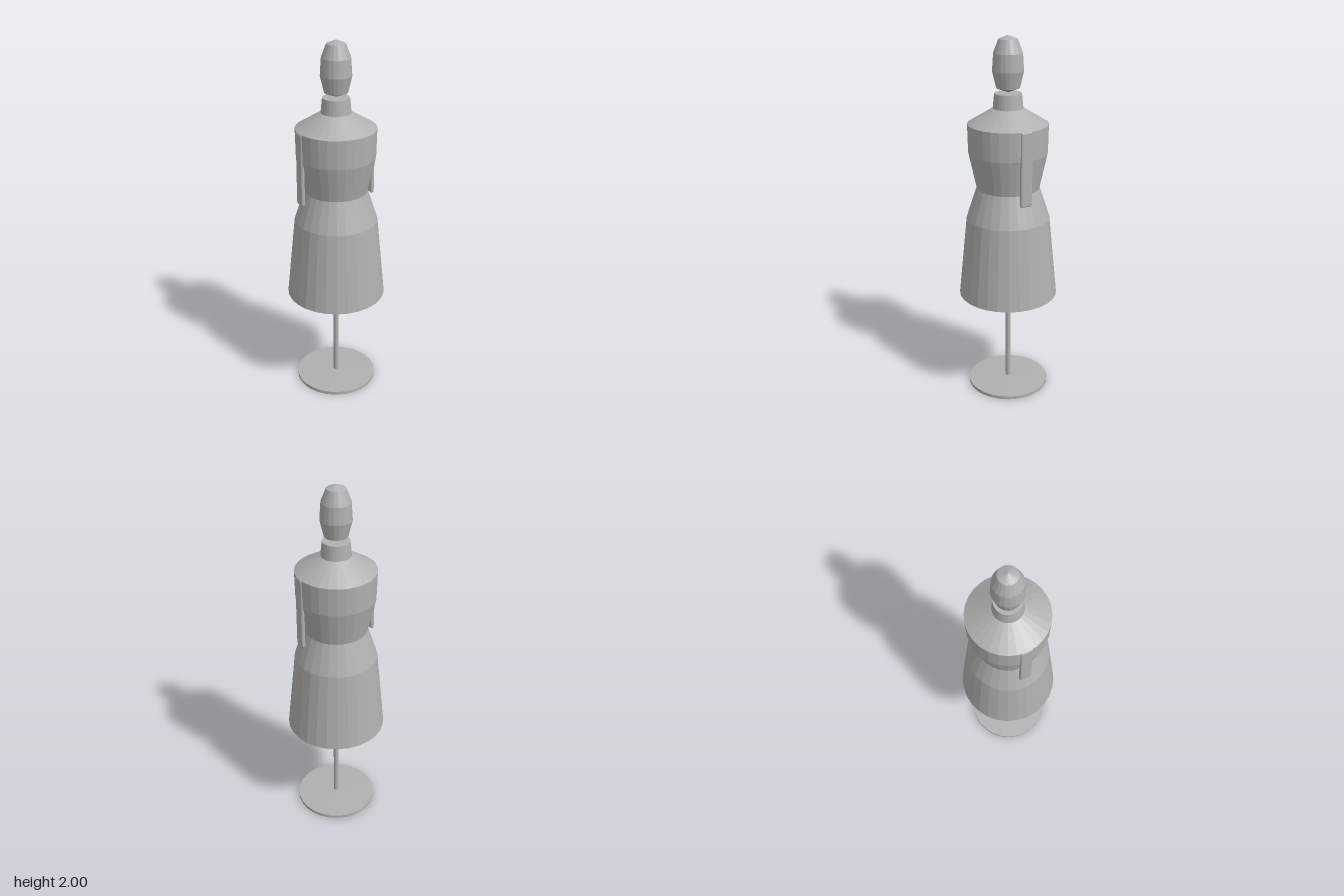
import * as THREE from 'three';
import { RoundedBoxGeometry } from 'three/addons/geometries/RoundedBoxGeometry.js';

export function createModel() {
  const model = new THREE.Group();
  model.name = 'dressForm';

  const grey = new THREE.MeshStandardMaterial({ color: 0xb0b0b0 });
  grey.name = 'plainGrey';

  function add(name, geometry) {
    // Split the vertices so every facet stays flat
    const flat = geometry.index ? geometry.toNonIndexed() : geometry;
    flat.computeVertexNormals();
    const mesh = new THREE.Mesh(flat, grey);
    mesh.name = name;
    model.add(mesh);
    return mesh;
  }

  // Profiles run from bottom to top as [radius, height]
  const lathe = (profile, sides) =>
    new THREE.LatheGeometry(profile.map(([r, y]) => new THREE.Vector2(r, y)), sides);

  // Round stand with a barely domed top
  add('standBase', lathe([[0, 0], [0.227, 0], [0.227, 0.018], [0, 0.025]], 28));

  // Pole up into the skirt
  const pole = add('standPole', new THREE.CylinderGeometry(0.014, 0.014, 0.58, 12));
  pole.position.y = 0.305;

  // Skirt, waist, chest, shoulders and neck
  add('body', lathe([
    [0, 0.575], [0.272, 0.575], [0.226, 1.025], [0.17, 1.195], [0.212, 1.39],
    [0.215, 1.545], [0.08, 1.627], [0.072, 1.705], [0, 1.705],
  ], 28));

  // Head, resting on a point just above the neck
  add('head', lathe([
    [0, 1.708], [0.062, 1.732], [0.083, 1.82], [0.077, 1.91], [0.05, 1.98], [0, 2],
  ], 20));

  // Flat arms let into the sides of the chest
  for (const side of [1, -1]) {
    const arm = add(side > 0 ? 'leftArm' : 'rightArm',
      new RoundedBoxGeometry(0.022, 0.4, 0.066, 2, 0.009));
    arm.position.set(side * 0.207, 1.346, 0);
  }

  return model;
}
